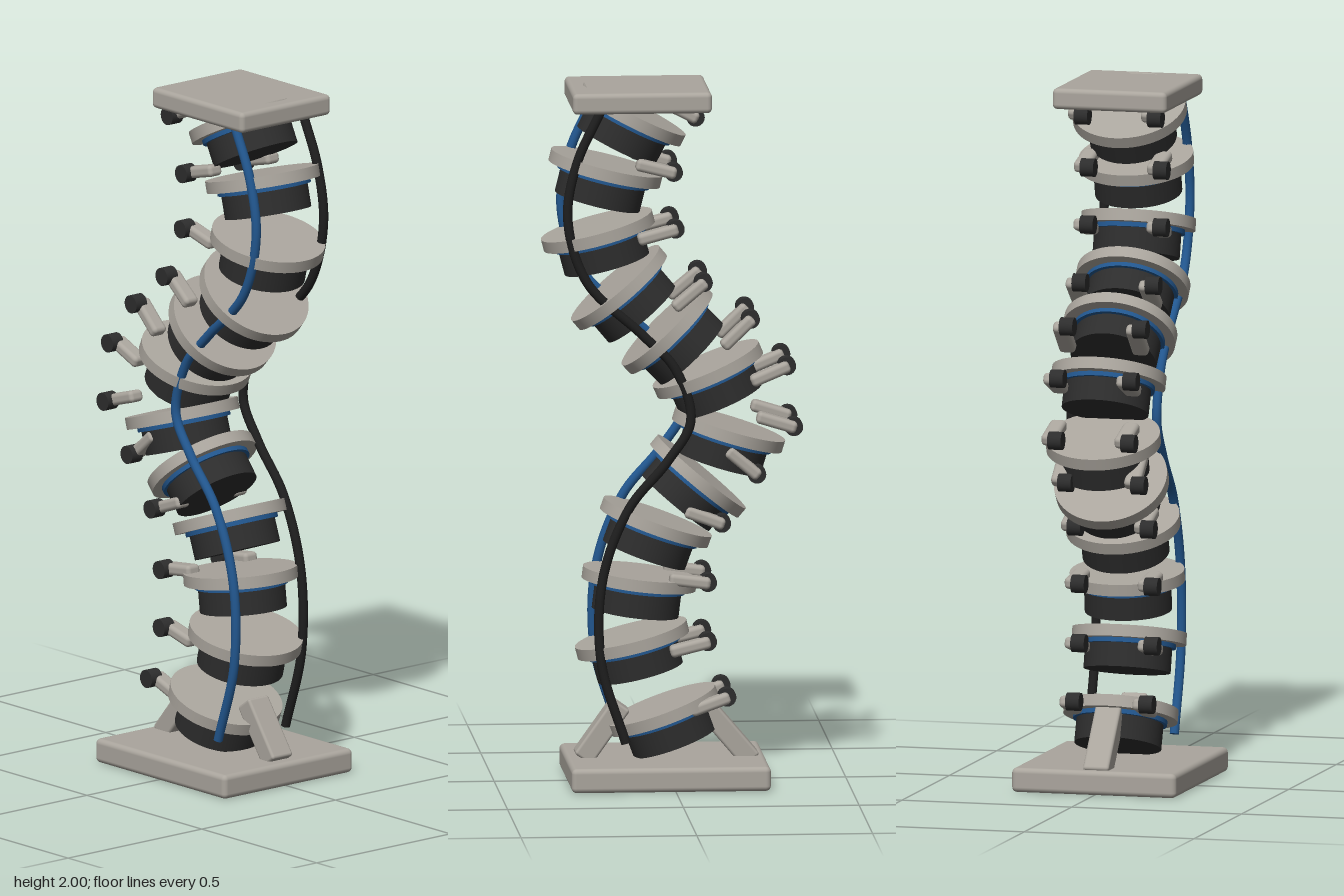
import * as THREE from 'three';
import { RoundedBoxGeometry } from 'three/addons/geometries/RoundedBoxGeometry.js';

const material = (name, color) => {
  const m = new THREE.MeshStandardMaterial({ color });
  m.name = name;
  return m;
};

export function createModel() {
  const grey = material('warm grey', 0xaaa59d);
  const dark = material('dark rubber', 0x2d2d2d);
  const black = material('black cable', 0x1e1e1e);
  const blue = material('blue', 0x22578f);
  const model = new THREE.Group();
  model.name = 'flexibleSpine';

  const add = (parent, name, geometry, mat, x = 0, y = 0, z = 0) => {
    const mesh = new THREE.Mesh(geometry, mat);
    mesh.name = name;
    mesh.position.set(x, y, z);
    parent.add(mesh);
    return mesh;
  };

  // Base and top plates
  add(model, 'basePlate', new RoundedBoxGeometry(0.567, 0.07, 0.484, 3, 0.015), grey, 0.0135, 0.035, -0.001);
  add(model, 'topPlate', new RoundedBoxGeometry(0.396, 0.06, 0.336, 3, 0.014), grey, 0.09, 1.968, 0);

  // Slanted struts between base and lowest vertebra
  const strut = (name, x1, y1, x2, y2) => {
    const length = Math.hypot(x2 - x1, y2 - y1);
    const mesh = add(model, name, new RoundedBoxGeometry(length, 0.06, 0.076, 2, 0.008), grey,
      (x1 + x2) / 2, (y1 + y2) / 2, 0);
    mesh.rotation.z = Math.atan2(y2 - y1, x2 - x1);
  };
  strut('leftStrut', 0.25, 0.065, 0.14, 0.22);
  strut('rightStrut', -0.23, 0.055, -0.09, 0.22);

  // Vertebrae: disc centre x, y, tilt in degrees, then peg knob x, y
  const vertebrae = [
    [0.02, 0.20, -20, -0.155, 0.25],
    [0.108, 0.405, -14, -0.10, 0.41],
    [0.087, 0.58, 7, -0.10, 0.58],
    [0.04, 0.74, 20, -0.14, 0.75],
    [-0.08, 0.87, 40, -0.24, 0.89],
    [-0.167, 1.003, 17, -0.345, 1.025],
    [-0.108, 1.177, -23, -0.325, 1.20],
    [0.008, 1.294, -44, -0.222, 1.335],
    [0.145, 1.415, -40, -0.088, 1.442],
    [0.205, 1.58, -15, -0.008, 1.597],
    [0.183, 1.76, 14, -0.003, 1.76],
    [0.108, 1.912, 27, -0.065, 1.918],
  ];
  const discGeo = new THREE.CylinderGeometry(0.163, 0.163, 0.034, 64);
  const ringGeo = new THREE.CylinderGeometry(0.134, 0.134, 0.014, 64);
  const padGeo = new THREE.CylinderGeometry(0.124, 0.124, 0.07, 64);
  const pegGeo = new RoundedBoxGeometry(0.118, 0.034, 0.048, 3, 0.012);
  const knobGeo = new THREE.CylinderGeometry(0.026, 0.026, 0.04, 24).rotateX(Math.PI / 2);

  vertebrae.forEach(([x, y, degrees, knobX, knobY], i) => {
    const tilt = THREE.MathUtils.degToRad(degrees);
    const vertebra = new THREE.Group();
    vertebra.name = `vertebra${i + 1}`;
    vertebra.position.set(x, y, 0);
    vertebra.rotation.z = tilt;
    model.add(vertebra);
    add(vertebra, 'disc', discGeo, grey);
    add(vertebra, 'ring', ringGeo, blue, 0, -0.023, 0);
    add(vertebra, 'pad', padGeo, dark, 0, -0.064, 0);

    // Pair of pegs with round end knobs
    for (const z of [-0.109, 0.106]) {
      const peg = add(model, 'peg', pegGeo, grey,
        knobX + 0.052 * Math.cos(tilt), knobY + 0.052 * Math.sin(tilt), z);
      peg.rotation.z = tilt;
      add(model, 'pegKnob', knobGeo, dark, knobX, knobY, z + 0.02);
    }
  });

  // Two cables that follow the bend
  const path = [
    [0.135, 0.125], [0.205, 0.36], [0.20, 0.6], [0.125, 0.80], [0.015, 0.935], [-0.05, 1.05],
    [-0.005, 1.2], [0.09, 1.30], [0.245, 1.45], [0.30, 1.63], [0.275, 1.79], [0.205, 1.945],
  ];
  const cable = (name, mat, z) => {
    const curve = new THREE.CatmullRomCurve3(path.map(([x, y]) => new THREE.Vector3(x, y, z)));
    add(model, name, new THREE.TubeGeometry(curve, 120, 0.0135, 12), mat);
    // End caps
    for (const [end, dir] of [[0, -1], [1, 1]]) {
      const cap = add(model, name + 'End', new THREE.CircleGeometry(0.0135, 12), mat);
      cap.position.copy(curve.getPoint(end));
      cap.lookAt(cap.position.clone().addScaledVector(curve.getTangent(end), dir));
    }
  };
  cable('frontCable', blue, 0.125);
  cable('backCable', black, -0.127);

  return model;
}
